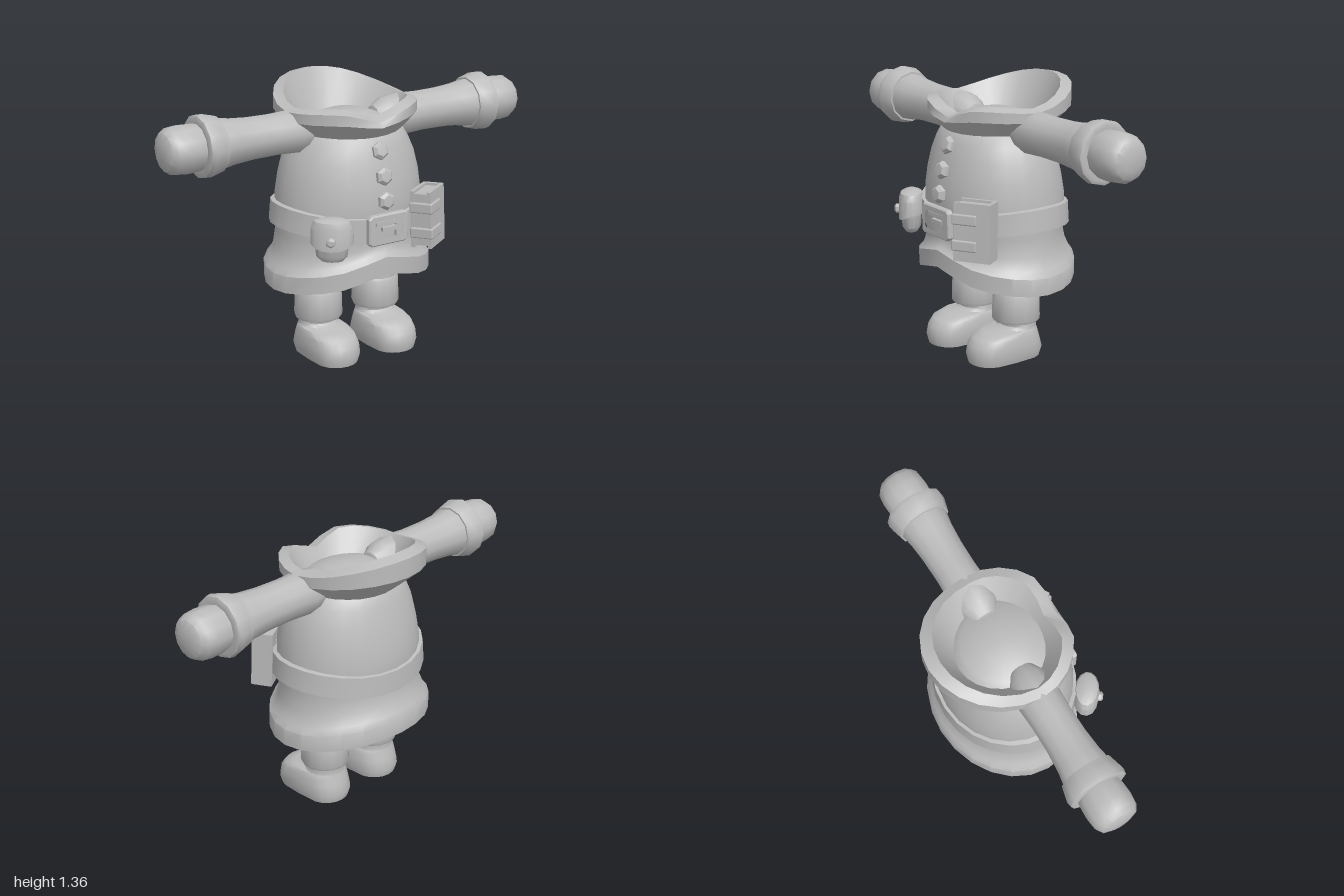
import * as THREE from 'three';
import { toCreasedNormals } from 'three/addons/utils/BufferGeometryUtils.js';
import { RoundedBoxGeometry } from 'three/addons/geometries/RoundedBoxGeometry.js';

const grey = new THREE.MeshStandardMaterial({ color: 0xbcbcbc });
grey.name = 'light grey';

// Skin closed rings: point(row, angle) places each vertex, angle 0 is the front
function loft(rows, n, point) {
  const pos = [], idx = [];
  rows.forEach((row, j) => {
    for (let i = 0; i < n; i++) {
      let a = (i / n) * Math.PI * 2;
      if (a > Math.PI) a -= Math.PI * 2;
      pos.push(...point(row, a));
      if (j === 0) continue;
      const k = (i + 1) % n, p = (j - 1) * n, q = j * n;
      idx.push(p + i, p + k, q + k, p + i, q + k, q + i);
    }
  });
  const g = new THREE.BufferGeometry();
  g.setAttribute('position', new THREE.Float32BufferAttribute(pos, 3));
  g.setIndex(idx);
  return toCreasedNormals(g, 0.7);
}

// Oval ring with separate front and back depths
const oval = (a, rx, zf, zb) => [rx * Math.sin(a), (Math.cos(a) > 0 ? zf : zb) * Math.cos(a)];
const notch = (a, width) => Math.max(0, 1 - Math.abs(a) / width);
const turned = (rows, n) => loft(rows, n, ([r, y], a) => [r * Math.sin(a), y, r * Math.cos(a)]);

function add(parent, name, geometry, x = 0, y = 0, z = 0) {
  const m = new THREE.Mesh(geometry, grey);
  m.name = name;
  m.position.set(x, y, z);
  parent.add(m);
  return m;
}
function group(parent, name, x = 0, y = 0, z = 0) {
  const g = new THREE.Group();
  g.name = name;
  g.position.set(x, y, z);
  parent.add(g);
  return g;
}

function addCoat(model) {
  // [y, half width, front depth, back depth, hem wave]
  const coat = [
    [0.56, 0, 0, 0, 0], [0.55, 0.33, 0.26, 0.28, 0], [0.43, 0.385, 0.30, 0.325, 1],
    [0.375, 0.39, 0.305, 0.33, 1], [0.375, 0.43, 0.34, 0.368, 1], [0.46, 0.43, 0.34, 0.37, 1],
    [0.49, 0.405, 0.315, 0.352, 0.9], [0.55, 0.38, 0.305, 0.33, 0.6], [0.64, 0.37, 0.305, 0.31, 0.1],
    [0.72, 0.375, 0.32, 0.322, 0], [0.82, 0.367, 0.322, 0.32, 0], [0.91, 0.355, 0.31, 0.303, 0],
    [1.0, 0.333, 0.29, 0.283, 0], [1.07, 0.302, 0.268, 0.26, 0], [1.13, 0.265, 0.24, 0.238, 0],
    [1.165, 0.2, 0.17, 0.2, 0], [1.2, 0.1, 0.09, 0.11, 0], [1.205, 0, 0, 0, 0]
  ];
  add(model, 'coat', loft(coat, 24, ([y, rx, zf, zb, w], a) => {
    const [x, z] = oval(a, rx, zf, zb);
    return [x, y + w * (0.045 * Math.cos(a) ** 2 + 0.05 * notch(a, 0.6)), z];
  }));

  // Flared collar, high at the back and notched at the front
  const collar = [
    [1.11, 0.25, 0.235, 0.235, 0], [1.195, 0.345, 0.31, 0.39, 0.5],
    [1.24, 0.345, 0.31, 0.39, 1], [1.255, 0.3, 0.25, 0.33, 1], [1.14, 0.21, 0.17, 0.24, 0]
  ];
  add(model, 'collar', loft(collar, 24, ([y, rx, zf, zb, w], a) => {
    const [x, z] = oval(a, rx, zf, zb);
    const back = 0.1 * Math.max(0, -Math.cos(a)) ** 1.4;
    const front = 0.022 * Math.max(0, Math.cos(a)) - 0.065 * notch(a, 0.6);
    return [x, y + w * (back + front), z - 0.035 * w * notch(a, 0.5)];
  }));

  // Belt dipping at the front and back
  const belt = [
    [0.69, 0.36, 0.3, 0.3], [0.685, 0.402, 0.334, 0.34], [0.79, 0.392, 0.336, 0.336], [0.795, 0.36, 0.31, 0.31]
  ];
  add(model, 'belt', loft(belt, 24, ([y, rx, zf, zb], a) => {
    const [x, z] = oval(a, rx, zf, zb);
    return [x, y - 0.042 * Math.cos(a) ** 2, z];
  }));

  // Six-sided buttons following the chest
  const button = turned([[0, -0.02], [0.044, -0.02], [0.044, 0.012], [0.03, 0.026], [0, 0.028]], 6);
  button.rotateX(Math.PI / 2);
  for (const [y, z, tilt] of [[1.06, 0.268, -0.35], [0.945, 0.303, -0.2], [0.83, 0.322, -0.08]])
    add(model, 'button', button, 0, y, z).rotation.x = tilt;
}

function addBuckle(model) {
  const buckle = group(model, 'buckle', 0, 0.698, 0.325);
  const rect = (T, w, h) => {
    const s = new T();
    s.moveTo(-w, -h + 0.012);
    s.lineTo(-w, h - 0.012); s.lineTo(-w + 0.012, h);
    s.lineTo(w - 0.012, h); s.lineTo(w, h - 0.012);
    s.lineTo(w, -h + 0.012); s.lineTo(w - 0.012, -h);
    s.lineTo(-w + 0.012, -h);
    s.closePath();
    return s;
  };
  const frame = rect(THREE.Shape, 0.105, 0.069);
  frame.holes.push(rect(THREE.Path, 0.08, 0.044));
  add(buckle, 'buckleFrame', new THREE.ExtrudeGeometry(frame, {
    depth: 0.022, bevelThickness: 0.006, bevelSize: 0.006, bevelSegments: 1
  }));
  add(buckle, 'buckleProng', new THREE.BoxGeometry(0.085, 0.02, 0.022), 0.01, 0, 0.014);
  add(buckle, 'buckleLoop', new THREE.BoxGeometry(0.025, 0.085, 0.018), 0.06, 0, 0.012);
  add(buckle, 'buckleTab', new THREE.BoxGeometry(0.13, 0.018, 0.018), 0, 0.03, 0.012);
}

function addPouch(model) {
  const pouch = group(model, 'pouch', -0.285, 0, 0.295);
  pouch.rotation.y = -0.66;
  const flat = (rows, drop) => loft(rows, 14, ([r, y, d = 0], a) => [
    r * Math.sin(a), y - d * drop * Math.max(0, Math.cos(a)), r * 0.62 * Math.cos(a)]);
  add(pouch, 'pouchPocket', flat([[0, 0.58], [0.05, 0.58], [0.075, 0.605], [0.085, 0.7]], 0));
  add(pouch, 'pouchFlap', flat([
    [0.07, 0.68, 1], [0.102, 0.675, 1], [0.1, 0.745], [0.085, 0.775], [0.05, 0.787], [0, 0.788]], 0.035));
  const stud = turned([[0.024, -0.01], [0.024, 0.012], [0.014, 0.02], [0, 0.02]], 6);
  add(pouch, 'pouchStud', stud.rotateX(Math.PI / 2), 0, 0.69, 0.063);
}

function addBook(model) {
  const book = group(model, 'book', 0.262, 0.707, 0.302);
  book.rotation.set(-0.04, 0.56, 0, 'YXZ');
  for (const z of [-0.043, 0.043])
    add(book, 'bookCover', new THREE.BoxGeometry(0.18, 0.28, 0.018), 0, 0, z);
  add(book, 'bookPages', new THREE.BoxGeometry(0.165, 0.255, 0.07), -0.003, 0, 0);
  add(book, 'bookSpine', new THREE.BoxGeometry(0.018, 0.28, 0.09), 0.083, 0, 0);
  for (const y of [-0.065, 0.06])
    add(book, 'bookStrap', new RoundedBoxGeometry(0.125, 0.052, 0.118, 1, 0.008), -0.037, y, 0.004);
}

function addArm(model, side) {
  const arm = group(model, side > 0 ? 'leftArm' : 'rightArm', 0, 1.142, -0.003);
  if (side < 0) arm.rotation.y = Math.PI;
  // [radius, distance from the middle of the body]
  const parts = {
    sleeve: [[0, 0.13], [0.06, 0.15], [0.095, 0.21], [0.106, 0.3], [0.1, 0.42], [0.102, 0.55],
      [0.11, 0.65], [0.122, 0.72], [0.12, 0.75]],
    sleeveCuff: [[0.09, 0.715], [0.13, 0.715], [0.137, 0.74], [0.15, 0.79], [0.146, 0.815], [0.13, 0.822], [0.09, 0.815]],
    hand: [[0.1, 0.78], [0.113, 0.84], [0.116, 0.9], [0.11, 0.955], [0.09, 0.985], [0.05, 0.998], [0, 1.0]]
  };
  for (const [name, rows] of Object.entries(parts))
    add(arm, name, turned(rows, 12).rotateZ(-Math.PI / 2));
}

function addLeg(model, side) {
  const leg = group(model, side > 0 ? 'leftLeg' : 'rightLeg', side * 0.17, 0, 0);
  add(leg, 'trouser', turned([[0.108, 0.3], [0.105, 0.4], [0.1, 0.57]], 14), 0, 0, -0.005);
  add(leg, 'trouserCuff', turned([
    [0.085, 0.2], [0.114, 0.185], [0.12, 0.2], [0.116, 0.325], [0.108, 0.34], [0.085, 0.34]], 14), 0, 0, -0.007);
  // [y, half width, heel z, toe z]
  const boot = [
    [0, 0, 0.06, 0.07], [0, 0.11, -0.125, 0.258], [0.04, 0.122, -0.136, 0.268], [0.09, 0.12, -0.122, 0.258],
    [0.125, 0.115, -0.112, 0.23], [0.145, 0.108, -0.106, 0.17], [0.15, 0.1, -0.105, 0.09],
    [0.165, 0.096, -0.105, 0.072], [0.22, 0.096, -0.105, 0.08]
  ];
  // Round toe and heel joined by straight sides
  add(leg, 'boot', loft(boot, 20, ([y, w, heel, toe], a) => {
    const straight = Math.max(0, (toe - heel) / 2 - w), c = Math.cos(a);
    const half = Math.min(w, (toe - heel) / 2);
    const shift = Math.max(-1, Math.min(1, c * 3)) * straight;
    return [w * Math.sin(a), y, (heel + toe) / 2 + shift + half * c];
  }));
}

export function createModel() {
  const model = new THREE.Group();
  model.name = 'coatOutfit';
  addCoat(model);
  addBuckle(model);
  addPouch(model);
  addBook(model);
  for (const side of [1, -1]) {
    addArm(model, side);
    addLeg(model, side);
  }
  return model;
}
